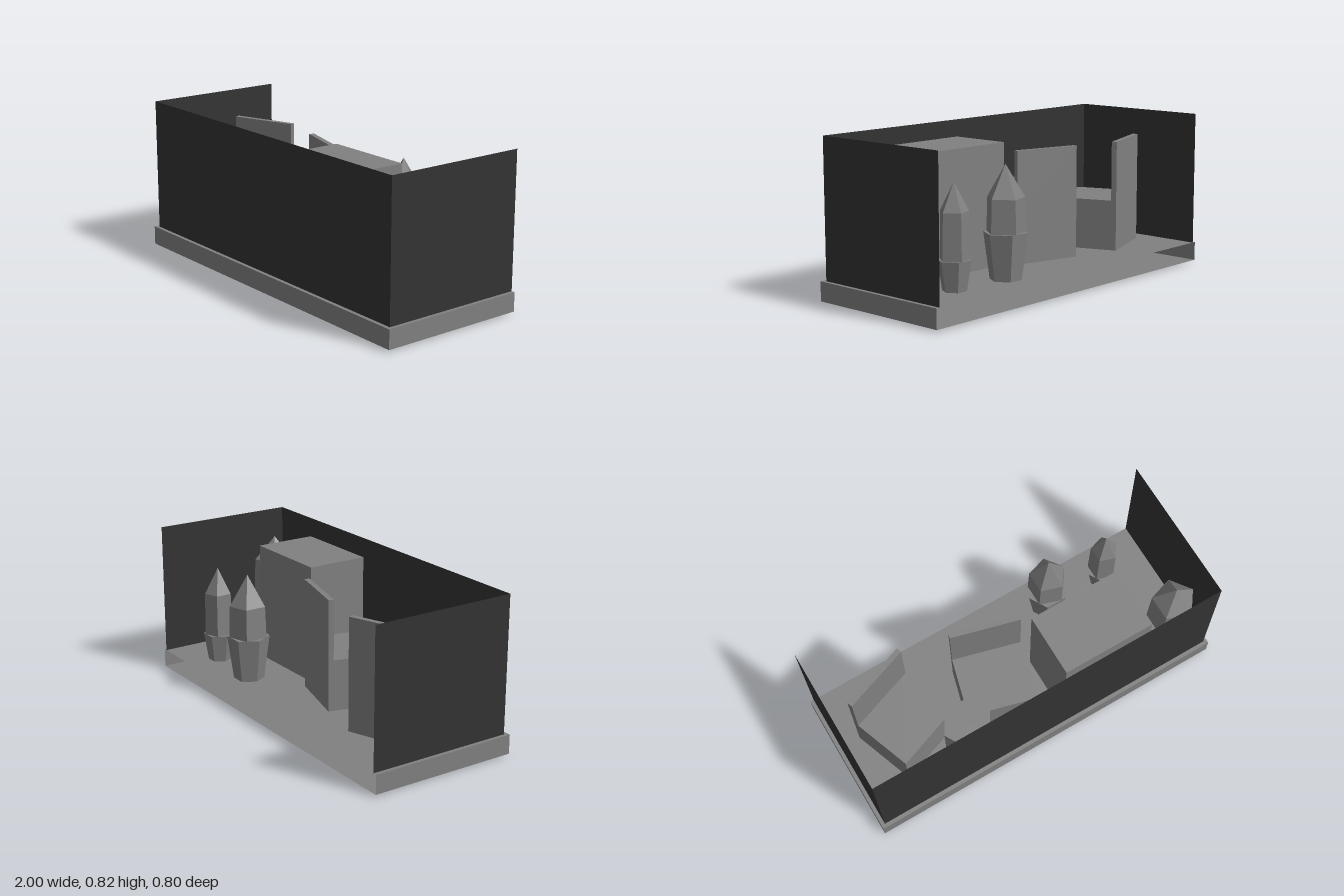
import * as THREE from 'three';

const grey = new THREE.MeshStandardMaterial({ color: 0x808080, side: THREE.DoubleSide });
grey.name = 'concrete grey';
const dark = new THREE.MeshStandardMaterial({ color: 0x333333, side: THREE.DoubleSide });
dark.name = 'dark panel';

const FLOOR = 0.11;

function add(parent, name, geometry, material, x = 0, y = 0, z = 0) {
  const mesh = new THREE.Mesh(geometry, material);
  mesh.name = name;
  mesh.position.set(x, y, z);
  parent.add(mesh);
  return mesh;
}

// Faceted prism or frustum with a corner pointing along +x
function prism(rTop, rBottom, height, sides, open = false) {
  const g = new THREE.CylinderGeometry(rTop, rBottom, height, sides, 1, open, Math.PI / 2).toNonIndexed();
  g.computeVertexNormals();
  return g;
}

// Block seat with an upright backrest
function chair(name, x, z, degrees) {
  const w = 0.367, d = 0.345, seatTop = 0.38, backTop = 0.697, t = 0.028;
  const group = new THREE.Group();
  group.name = name;
  add(group, 'seat', new THREE.BoxGeometry(w, seatTop - FLOOR, d), grey, 0, (FLOOR + seatTop) / 2, 0);
  add(group, 'backrest', new THREE.BoxGeometry(w, backTop - seatTop, t), grey,
    0, (seatTop + backTop) / 2, -d / 2 + t / 2);
  group.position.set(x, 0, z);
  group.rotation.y = THREE.MathUtils.degToRad(degrees);
  return group;
}

// Tapered hexagonal pot with a five-sided pointed shrub
function plant(name, x, z, r, rim, shoulder, top) {
  const group = new THREE.Group();
  group.name = name;
  add(group, 'pot', prism(r, r * 0.72, rim - FLOOR, 6), grey, 0, (FLOOR + rim) / 2, 0);
  add(group, 'foliage', prism(r * 0.87, r * 0.92, shoulder - rim, 5, true), grey, 0, (rim + shoulder) / 2, 0);
  add(group, 'foliageTip', prism(0, r * 0.87, top - shoulder, 5, true), grey, 0, (shoulder + top) / 2, 0);
  group.position.set(x, 0, z);
  return group;
}

export function createModel() {
  const model = new THREE.Group();
  model.name = 'balcony';

  // Hollow floor slab, open along the back (last box face dropped)
  const slab = new THREE.BoxGeometry(2, 0.1, 0.8);
  slab.setIndex(Array.from(slab.index.array).slice(0, 30));
  slab.clearGroups();
  add(model, 'floorSlab', slab, grey, 0, 0.06, 0);

  // Thin parapet panels on three sides
  const top = 0.822;
  add(model, 'frontParapet', new THREE.PlaneGeometry(1.96, top), dark, 0, top / 2, 0.38);
  for (const side of [-1, 1]) {
    const panel = add(model, side > 0 ? 'leftParapet' : 'rightParapet',
      new THREE.PlaneGeometry(0.78, top - FLOOR), dark, side * 0.98, (top + FLOOR) / 2, -0.01);
    panel.rotation.y = side * Math.PI / 2;
  }

  // Furniture
  model.add(chair('rightChair', -0.639, 0.007, 20));
  model.add(chair('leftChair', -0.135, 0.057, -15));
  add(model, 'table', prism(0.132, 0.132, 0.474 - FLOOR, 6), grey, -0.39, (0.474 + FLOOR) / 2, 0.23);
  add(model, 'cabinet', new THREE.BoxGeometry(0.497, 0.74 - FLOOR, 0.332), grey,
    0.367, (0.74 + FLOOR) / 2, 0.166);

  // Potted plants
  model.add(plant('mediumPlant', 0.363, -0.235, 0.112, 0.345, 0.515, 0.68));
  model.add(plant('smallPlant', 0.7, -0.217, 0.084, 0.26, 0.49, 0.63));
  model.add(plant('largePlant', 0.83, 0.232, 0.131, 0.345, 0.58, 0.707));

  return model;
}
